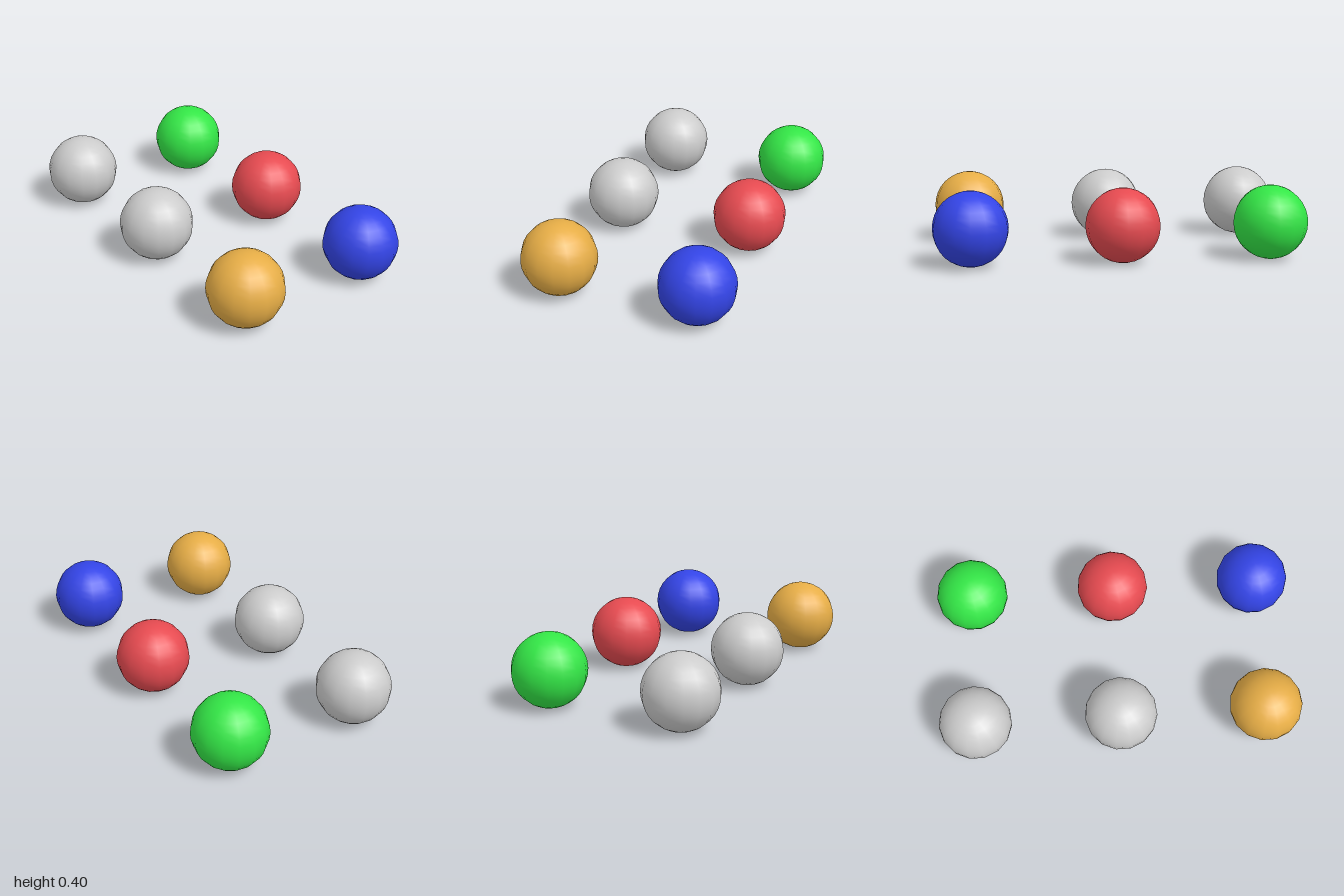
import * as THREE from 'three';

const RADIUS = 0.2;
const SPACING_X = 0.801;
const BACK_Z = -0.38;
const FRONT_Z = 0.38;

export function createModel() {
  const model = new THREE.Group();
  model.name = 'ballSet';

  // Smooth 15-sided ball with one meridian pointing straight back
  const ball = new THREE.SphereGeometry(RADIUS, 15, 16);
  ball.rotateY(-Math.PI / 2);

  const grey = new THREE.MeshStandardMaterial({ color: 0xcccccc });
  const coloured = (color) => new THREE.MeshStandardMaterial({ color });

  // Two rows of three balls: column runs from -1 (right) to 1 (left)
  const balls = [
    ['greenBall', -1, BACK_Z, coloured(0x33e646)],
    ['redBall', 0, BACK_Z, coloured(0xe64a50)],
    ['blueBall', 1, BACK_Z, coloured(0x3344e6)],
    ['greyBallRight', -1, FRONT_Z, grey],
    ['greyBallMiddle', 0, FRONT_Z, grey],
    ['goldBall', 1, FRONT_Z, coloured(0xe6ad46)],
  ];

  for (const [name, column, z, material] of balls) {
    const mesh = new THREE.Mesh(ball, material);
    mesh.name = name;
    mesh.position.set(column * SPACING_X, RADIUS, z);
    model.add(mesh);
  }
  return model;
}
